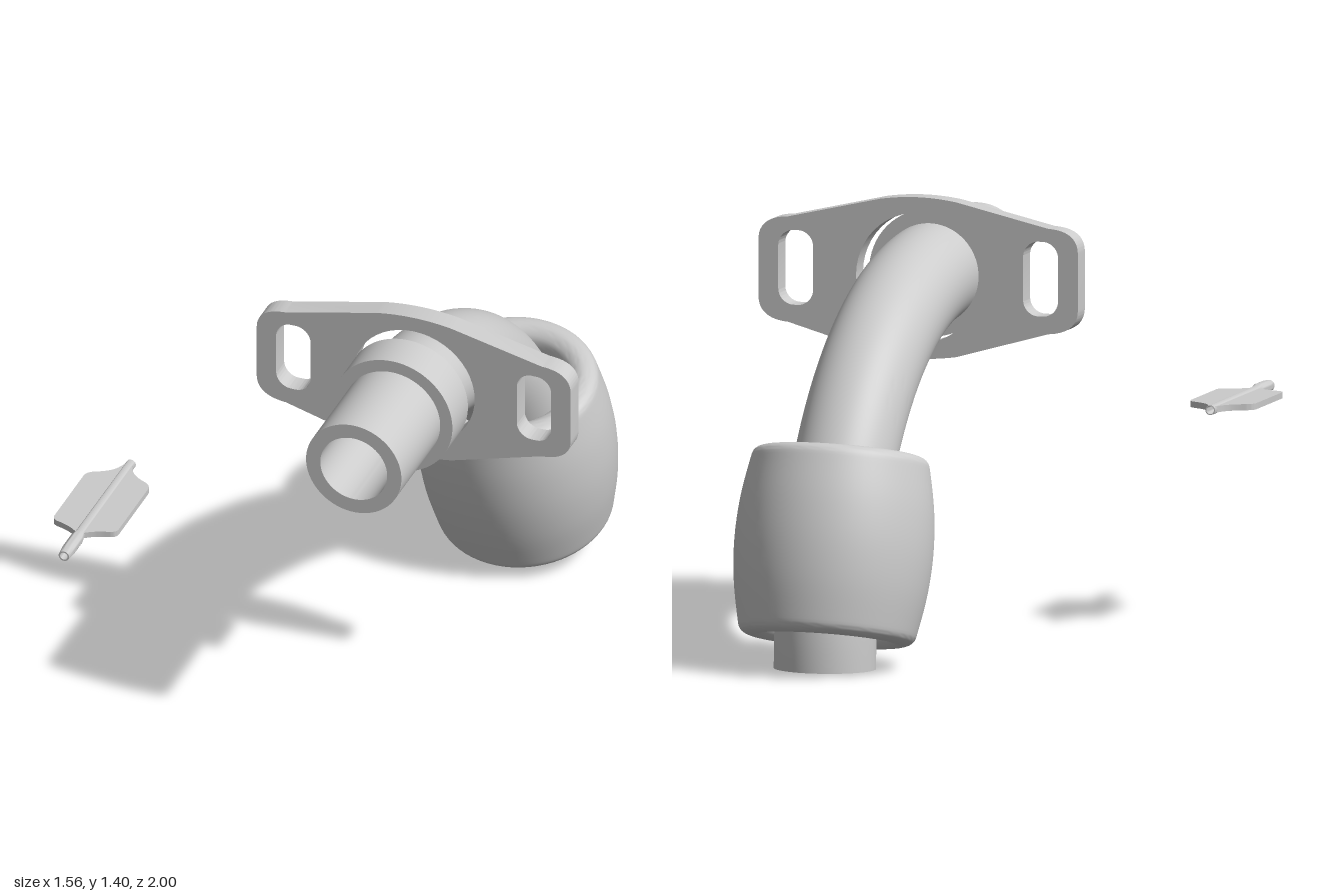
import * as THREE from 'three';
import { toCreasedNormals } from 'three/addons/utils/BufferGeometryUtils.js';

const CX = 0.24, CY = 1.136; // axis of the straight pipe
const v2 = (x, y) => new THREE.Vector2(x, y);
const grey = () => new THREE.MeshStandardMaterial({ color: 0xcccccc });

function addMesh(parent, name, geometry, crease = 0.6) {
  const mesh = new THREE.Mesh(toCreasedNormals(geometry, crease), grey());
  mesh.name = name;
  parent.add(mesh);
  return mesh;
}

// Hollow body of revolution around z; outer is a list of [radius, z] from back to front
function hollowLathe(outer, bore, segments) {
  const first = outer[0], last = outer[outer.length - 1];
  const pts = [[bore, first[1]], ...outer, [bore, last[1]], [bore, first[1]]];
  return new THREE.LatheGeometry(pts.map(p => v2(...p)), segments).rotateX(Math.PI / 2);
}

function roundedSlot(x, y, w, h, r) {
  const p = new THREE.Path();
  p.absarc(x + w / 2 - r, y + h / 2 - r, r, 0, Math.PI / 2);
  p.absarc(x - w / 2 + r, y + h / 2 - r, r, Math.PI / 2, Math.PI);
  p.absarc(x - w / 2 + r, y - h / 2 + r, r, Math.PI, Math.PI * 1.5);
  p.absarc(x + w / 2 - r, y - h / 2 + r, r, Math.PI * 1.5, Math.PI * 2);
  p.closePath();
  return p;
}

// Straight run followed by a quarter bend down to the ground
function bentPipe() {
  const R = 1.136, zc = 0.395, arc = [];
  for (let i = 0; i <= 24; i++) {
    const a = (i / 24) * Math.PI / 2;
    arc.push(new THREE.Vector3(CX, R * Math.cos(a), zc - R * Math.sin(a)));
  }
  const path = new THREE.CurvePath();
  path.add(new THREE.LineCurve3(new THREE.Vector3(CX, CY, 0.783), arc[0]));
  path.add(new THREE.CatmullRomCurve3(arc));
  const ring = new THREE.Shape().absarc(0, 0, 0.164, 0, Math.PI * 2);
  ring.holes.push(new THREE.Path().absarc(0, 0, 0.115, 0, Math.PI * 2));
  return new THREE.ExtrudeGeometry(ring, { steps: 64, curveSegments: 40, extrudePath: path, bevelEnabled: false });
}

// Oval plate with a wide bore and one slot at each end
function flangeGeometry() {
  const s = new THREE.Shape();
  s.moveTo(0.54, 1.05 - CY + 0.0 - 0.0 - 0.0 - 0.085);
  s.curves.length = 0;
  s.moveTo(-0.13, -0.25);
  s.quadraticCurveTo(0, -0.272, 0.13, -0.25);
  s.lineTo(0.44, -0.162);
  s.quadraticCurveTo(0.54, -0.155, 0.54, -0.08);
  s.lineTo(0.54, 0.1);
  s.quadraticCurveTo(0.54, 0.175, 0.44, 0.179);
  s.lineTo(0.13, 0.25);
  s.quadraticCurveTo(0, 0.272, -0.13, 0.25);
  s.lineTo(-0.44, 0.179);
  s.quadraticCurveTo(-0.54, 0.175, -0.54, 0.1);
  s.lineTo(-0.54, -0.08);
  s.quadraticCurveTo(-0.54, -0.155, -0.44, -0.162);
  s.closePath();
  s.holes.push(new THREE.Path().absarc(0, 0, 0.21, 0, Math.PI * 2));
  for (const side of [-1, 1]) s.holes.push(roundedSlot(side * 0.414, 0.015, 0.118, 0.242, 0.052));
  return new THREE.ExtrudeGeometry(s, { depth: 0.07, curveSegments: 24, bevelEnabled: false });
}

// Barrel sleeve: bulged wall with soft lips, open bore
function sleeveGeometry() {
  const lower = [[0.185, -0.25], [0.198, -0.285], [0.228, -0.304], [0.258, -0.302], [0.28, -0.287], [0.291, -0.25], [0.312, -0.13]];
  const upper = lower.map(([r, y]) => [r, -y]).reverse();
  const curve = new THREE.SplineCurve([...lower, [0.32, 0], ...upper].map(p => v2(...p)));
  const pts = curve.getPoints(56);
  pts.push(pts[0].clone());
  return new THREE.LatheGeometry(pts, 64);
}

// Flat wing of the loose part, drawn in x and z
function wingGeometry(side) {
  const s = new THREE.Shape();
  s.moveTo(0.012, 0.42);
  s.bezierCurveTo(0.02, 0.47, 0.045, 0.49, 0.08, 0.507);
  s.quadraticCurveTo(0.111, 0.52, 0.111, 0.545);
  s.lineTo(0.111, 0.8);
  s.quadraticCurveTo(0.111, 0.822, 0.085, 0.828);
  s.quadraticCurveTo(0.04, 0.84, 0.012, 0.865);
  s.closePath();
  const g = new THREE.ExtrudeGeometry(s, { depth: 0.02, curveSegments: 10, bevelEnabled: false });
  g.translate(0, 0, -0.01).rotateX(Math.PI / 2);
  return side > 0 ? g : g.rotateZ(Math.PI);
}

export function createModel() {
  const model = new THREE.Group();
  model.name = 'pipeAssembly';

  addMesh(model, 'bentPipe', bentPipe());

  // Collar around the straight run
  addMesh(model, 'collar', hollowLathe([[0.206, 0.307], [0.206, 0.443]], 0.16, 64)).position.set(CX, CY, 0);

  addMesh(model, 'flange', flangeGeometry(), 0.4).position.set(CX, CY, 0.188);

  const sleeve = addMesh(model, 'sleeve', sleeveGeometry(), 0.9);
  sleeve.position.set(CX, 0.384, -0.651);
  sleeve.rotation.x = 0.247;

  // Small loose tube with two wings
  const winged = new THREE.Group();
  winged.name = 'wingedTube';
  winged.position.set(-0.672, 0.72, 0);
  const tube = [[0.016, 0.41], [0.017, 0.86], [0.022, 0.89], [0.022, 0.96], [0.018, 1.0]];
  addMesh(winged, 'smallTube', hollowLathe(tube, 0.013, 24));
  for (const side of [-1, 1]) addMesh(winged, side > 0 ? 'leftWing' : 'rightWing', wingGeometry(side));
  model.add(winged);

  return model;
}
